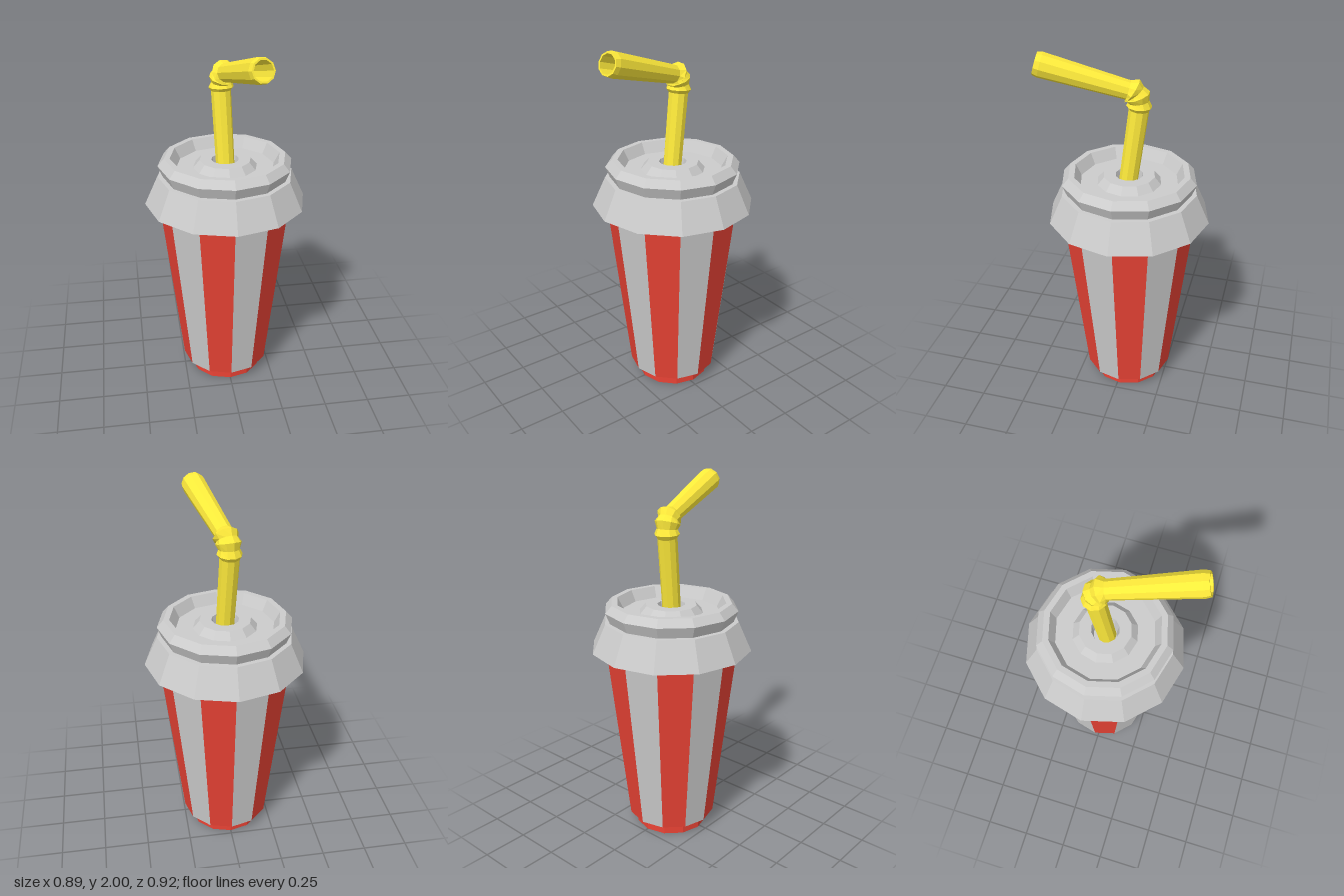
import * as THREE from 'three';

const SIDES = 12;
const material = (color) => new THREE.MeshStandardMaterial({ color, flatShading: true });
const WHITE = material(0xcccccc);
const RED = material(0xea4335);
const YELLOW = material(0xffeb3b);

function named(name, geometry, mat) {
  const mesh = new THREE.Mesh(geometry, mat);
  mesh.name = name;
  return mesh;
}

// Faceted turned part; the profile runs from the underside outwards and up
function turned(profile, segments = SIDES, start = 0, length = Math.PI * 2) {
  const points = profile.map(([r, y]) => new THREE.Vector2(r, y));
  return new THREE.LatheGeometry(points, segments, start, length);
}

// Skin through rings, each { centre, direction, radius }
function sweptRings(rings, sides) {
  const positions = [];
  const index = [];
  rings.forEach(({ centre, direction, radius }, j) => {
    const t = direction.clone().normalize();
    const u = new THREE.Vector3(1, 0, 0).addScaledVector(t, -t.x).normalize();
    const v = t.clone().cross(u);
    for (let i = 0; i < sides; i++) {
      const a = (i / sides) * Math.PI * 2;
      const p = centre.clone()
        .addScaledVector(u, Math.cos(a) * radius)
        .addScaledVector(v, Math.sin(a) * radius);
      positions.push(p.x, p.y, p.z);
      if (j === 0) continue;
      const n = (i + 1) % sides;
      const low = (j - 1) * sides, high = j * sides;
      index.push(low + i, low + n, high + i, high + n, high + i, low + n);
    }
  });
  const geometry = new THREE.BufferGeometry();
  geometry.setAttribute('position', new THREE.Float32BufferAttribute(positions, 3));
  geometry.setIndex(index);
  geometry.computeVertexNormals();
  return geometry;
}

function createCup() {
  const cup = new THREE.Group();
  cup.name = 'cup';
  // Alternating stripes, one per facet
  const step = (Math.PI * 2) / SIDES;
  for (let i = 0; i < SIDES; i++) {
    const red = i % 2 === 1;
    const wall = turned([[0.25, 0.068], [0.367, 1.1]], 1, i * step, step);
    cup.add(named(red ? 'redStripe' : 'whiteStripe', wall, red ? RED : WHITE));
  }
  // Foot ring with a recessed underside
  cup.add(named('foot', turned([
    [0, 0.055], [0.15, 0.055], [0.15, 0], [0.208, 0], [0.208, 0.065], [0.25, 0.068],
  ]), RED));
  return cup;
}

function createLid() {
  return named('lid', turned([
    [0.355, 1.09], [0.443, 1.09],                 // underside
    [0.37, 1.25], [0.343, 1.25],                  // skirt and neck
    [0.367, 1.31], [0.332, 1.35], [0.3, 1.35],    // rim
    [0.268, 1.29], [0.175, 1.29],                 // sunken top
    [0.14, 1.33], [0.075, 1.33],                  // raised centre
    [0.062, 1.26], [0, 1.26],                     // straw hole
  ]), WHITE);
}

function createStraw() {
  const lower = new THREE.Vector3(-0.03, 1, -0.12).normalize();
  const upper = new THREE.Vector3(0.1, 0.135, 0.447).normalize();
  const ring = (x, y, z, radius, turn) => ({
    centre: new THREE.Vector3(x, y, z),
    direction: lower.clone().lerp(upper, turn),
    radius,
  });
  const rings = [
    ring(0.002, 1.25, -0.008, 0.05, 0),
    ring(-0.015, 1.7, -0.064, 0.053, 0),
    // Pleated bend
    ring(-0.014, 1.72, -0.065, 0.067, 0.05),
    ring(-0.012, 1.745, -0.062, 0.055, 0.2),
    ring(-0.01, 1.775, -0.056, 0.068, 0.35),
    ring(-0.006, 1.79, -0.045, 0.056, 0.55),
    ring(0, 1.803, -0.032, 0.069, 0.75),
    ring(0.005, 1.808, -0.012, 0.05, 1),
    // Flared mouthpiece, then back down the bore
    ring(0.102, 1.934, 0.412, 0.065, 1),
    ring(0.108, 1.941, 0.438, 0.059, 1),
    ring(0.108, 1.941, 0.438, 0.05, 1),
    ring(0.02, 1.825, 0.04, 0.04, 1),
    ring(0.02, 1.825, 0.04, 0, 1),
  ];
  return named('straw', sweptRings(rings, 10), YELLOW);
}

export function createModel() {
  const model = new THREE.Group();
  model.name = 'drinkCup';
  const cup = createCup();
  const lid = createLid();
  cup.position.z = lid.position.z = -0.018;
  model.add(cup, lid, createStraw());
  return model;
}
